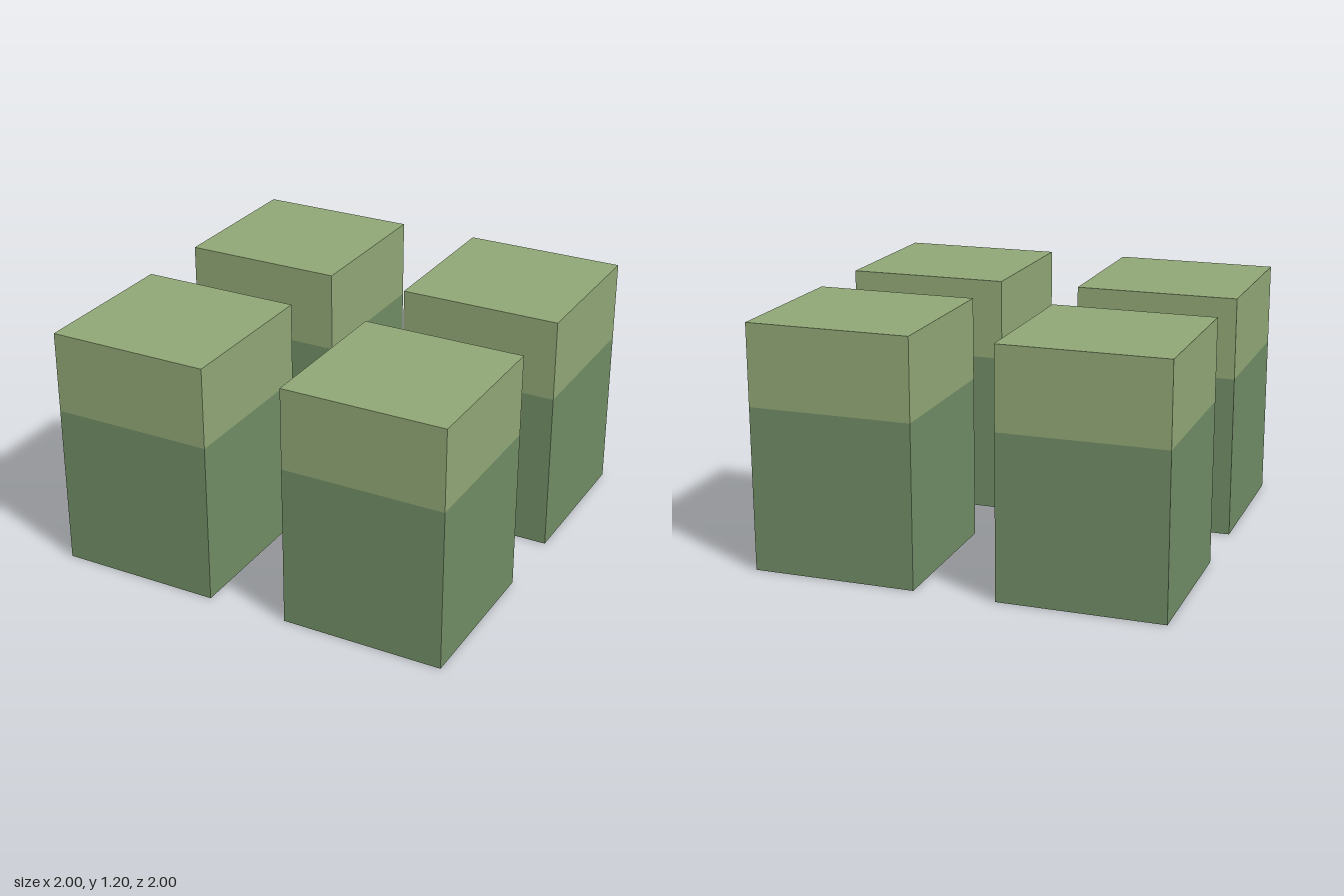
import * as THREE from 'three';

const WIDTH = 0.8;       // side of each square block
const OFFSET = 0.6;      // distance of block centres from the axes
const BODY_HEIGHT = 0.8;
const CAP_HEIGHT = 0.4;

export function createModel() {
  const model = new THREE.Group();
  model.name = 'fourBlocks';

  const bodyMaterial = new THREE.MeshStandardMaterial({ color: 0x708c65 });
  const capMaterial = new THREE.MeshStandardMaterial({ color: 0x8fa675 });
  const bodyGeometry = new THREE.BoxGeometry(WIDTH, BODY_HEIGHT, WIDTH);
  const capGeometry = new THREE.BoxGeometry(WIDTH, CAP_HEIGHT, WIDTH);

  // One block per corner: dark body below, light cap on top
  for (const [zName, z] of [['front', OFFSET], ['back', -OFFSET]]) {
    for (const [xName, x] of [['Left', OFFSET], ['Right', -OFFSET]]) {
      const block = new THREE.Group();
      block.name = `${zName}${xName}Block`;
      block.position.set(x, 0, z);

      const body = new THREE.Mesh(bodyGeometry, bodyMaterial);
      body.name = 'body';
      body.position.y = BODY_HEIGHT / 2;

      const cap = new THREE.Mesh(capGeometry, capMaterial);
      cap.name = 'cap';
      cap.position.y = BODY_HEIGHT + CAP_HEIGHT / 2;

      block.add(body, cap);
      model.add(block);
    }
  }
  return model;
}
